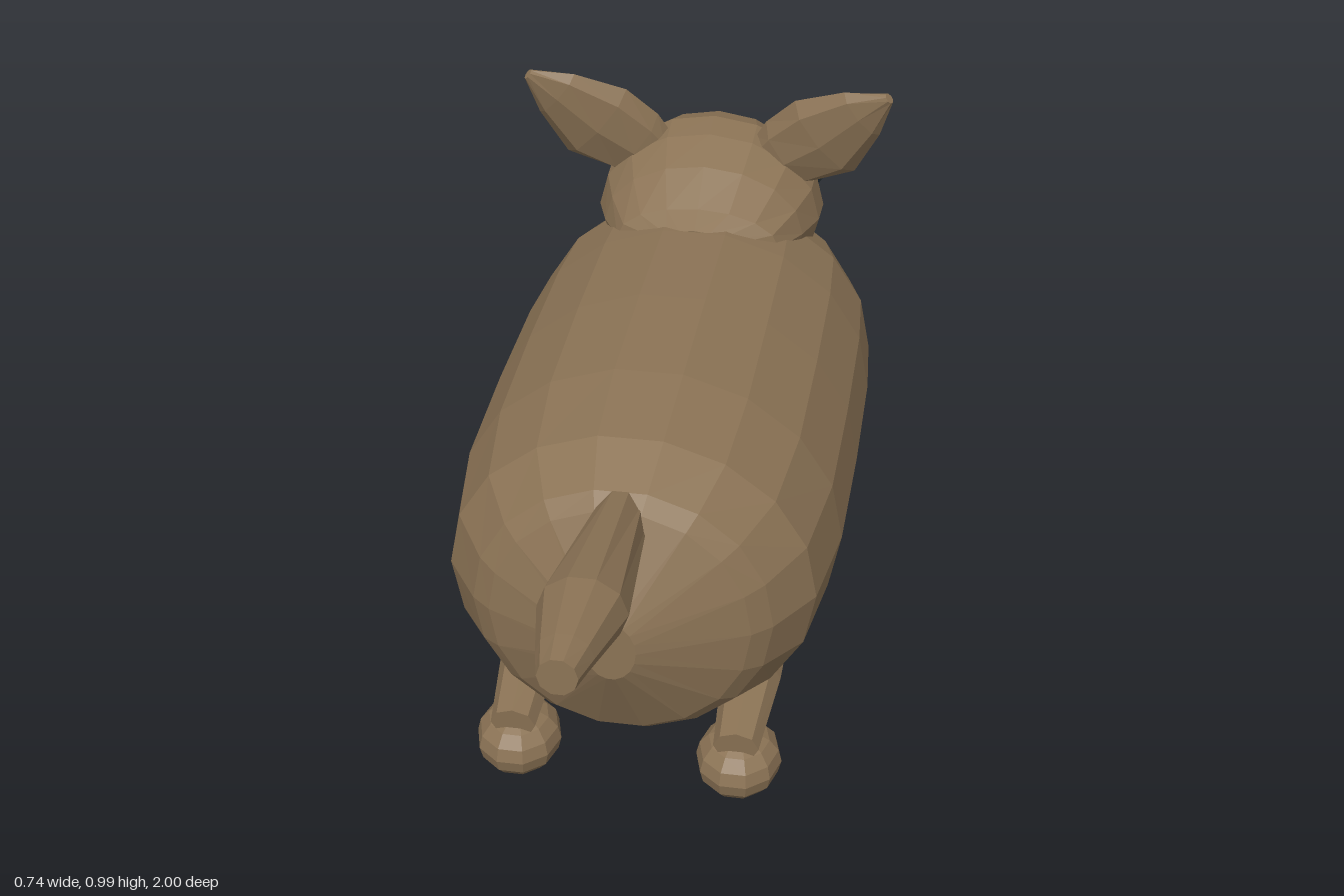
import * as THREE from 'three';

const fur = new THREE.MeshStandardMaterial({ color: 0x8b7355, flatShading: true });
fur.name = 'fur';
const eyeDark = new THREE.MeshStandardMaterial({ color: 0x263238, flatShading: true });
eyeDark.name = 'eyeDark';

const V = (x, y, z) => new THREE.Vector3(x, y, z);

// Faceted tube: elliptical rings [centre x, y, z, radius along u, radius along v], capped at both ends
function loft(rings, dir, side, n) {
  const d = dir.clone().normalize();
  const u = side.clone().addScaledVector(d, -side.dot(d)).normalize();
  const v = d.clone().cross(u);
  const pos = [], idx = [];
  for (const [x, y, z, ru, rv] of rings) {
    for (let j = 0; j < n; j++) {
      const t = (j / n) * Math.PI * 2;
      const p = V(x, y, z).addScaledVector(u, ru * Math.cos(t)).addScaledVector(v, rv * Math.sin(t));
      pos.push(p.x, p.y, p.z);
    }
  }
  for (let i = 0; i < rings.length - 1; i++) {
    for (let j = 0; j < n; j++) {
      const k = (j + 1) % n;
      const a = i * n + j, b = i * n + k, c = (i + 1) * n + k, e = (i + 1) * n + j;
      idx.push(a, b, c, a, c, e);
    }
  }
  const last = (rings.length - 1) * n;
  for (let j = 1; j < n - 1; j++) {
    idx.push(0, j + 1, j, last, last + j, last + j + 1);
  }
  const g = new THREE.BufferGeometry();
  g.setAttribute('position', new THREE.Float32BufferAttribute(pos, 3));
  g.setIndex(idx);
  return faceted(g);
}

function faceted(g) {
  const f = g.index ? g.toNonIndexed() : g;
  f.computeVertexNormals();
  return f;
}

function ball(rx, ry, rz, w, h) {
  return faceted(new THREE.SphereGeometry(1, w, h).scale(rx, ry, rz));
}

export function createModel() {
  const model = new THREE.Group();
  model.name = 'animal';
  const add = (name, geometry, material, x = 0, y = 0, z = 0) => {
    const m = new THREE.Mesh(geometry, material);
    m.name = name;
    m.position.set(x, y, z);
    model.add(m);
    return m;
  };
  const X = V(1, 0, 0), Z = V(0, 0, 1);

  // Barrel body: [z, half width, half height]
  const bodyProfile = [
    [-0.785, 0.04, 0.04], [-0.775, 0.13, 0.13], [-0.71, 0.25, 0.235], [-0.63, 0.315, 0.293],
    [-0.53, 0.35, 0.318], [-0.37, 0.362, 0.328], [-0.1, 0.365, 0.332], [0.17, 0.362, 0.328],
    [0.36, 0.335, 0.306], [0.46, 0.27, 0.26], [0.49, 0.235, 0.235], [0.577, 0.045, 0.06],
  ];
  add('body', loft(bodyProfile.map(([z, a, b]) => [0, 0.415, z, a, b]), Z, X, 18), fur);

  // Head, sloping back into the neck
  add('head', loft([
    [0, 0.67, -0.79, 0.06, 0.06], [0, 0.67, -0.77, 0.14, 0.125], [0, 0.675, -0.72, 0.2, 0.168],
    [0, 0.68, -0.65, 0.232, 0.184], [0, 0.68, -0.58, 0.23, 0.175], [0, 0.685, -0.5, 0.205, 0.135],
    [0, 0.69, -0.42, 0.165, 0.075], [0, 0.7, -0.373, 0.08, 0.04],
  ], Z, X, 16), fur);

  // Snout, poles along z
  const snout = new THREE.SphereGeometry(1, 14, 9).rotateX(Math.PI / 2).scale(0.163, 0.115, 0.17);
  add('snout', faceted(snout), fur, 0, 0.615, -0.83);

  // Tail, thickest near its end
  add('tail', loft([
    [0, 0.605, 0.45, 0.045, 0.068], [0, 0.673, 0.8, 0.075, 0.066],
    [0, 0.692, 0.94, 0.047, 0.042], [0, 0.696, 1.0, 0.033, 0.034],
  ], V(0, 0.02, 1), X, 10), fur);

  for (const s of [1, -1]) {
    const sideName = s > 0 ? 'left' : 'right';

    add(sideName + 'Eye', ball(0.045, 0.056, 0.056, 12, 9), eyeDark, s * 0.188, 0.746, -0.705);

    // Leaf-shaped ear, broad and thin
    add(sideName + 'Ear', loft([
      [s * 0.13, 0.785, -0.625, 0.066, 0.045], [s * 0.165, 0.815, -0.613, 0.083, 0.048],
      [s * 0.235, 0.867, -0.585, 0.098, 0.042], [s * 0.31, 0.938, -0.55, 0.058, 0.025],
      [s * 0.364, 0.985, -0.527, 0.011, 0.01],
    ], V(s * 0.235, 0.19, 0.095), V(s * 0.155, -0.135, 0), 8), fur);

    // Reclining legs with ball feet
    const legs = [['Front', -0.39, -0.64, -0.635], ['Hind', 0.1, 0.46, 0.41]];
    for (const [end, hipZ, ankleZ, footZ] of legs) {
      const dir = V(0, -0.035, ankleZ - hipZ);
      add(sideName + end + 'Leg', loft([
        [s * 0.215, 0.168, hipZ, 0.055, 0.035],
        [s * 0.212, 0.155, hipZ * 0.5 + ankleZ * 0.5, 0.056, 0.044],
        [s * 0.208, 0.13, ankleZ, 0.042, 0.034],
      ], dir, X, 8), fur);
      add(sideName + end + 'Foot', ball(0.08, 0.066, 0.092, 10, 8), fur, s * 0.208, 0.066, footZ);
    }
  }
  return model;
}
